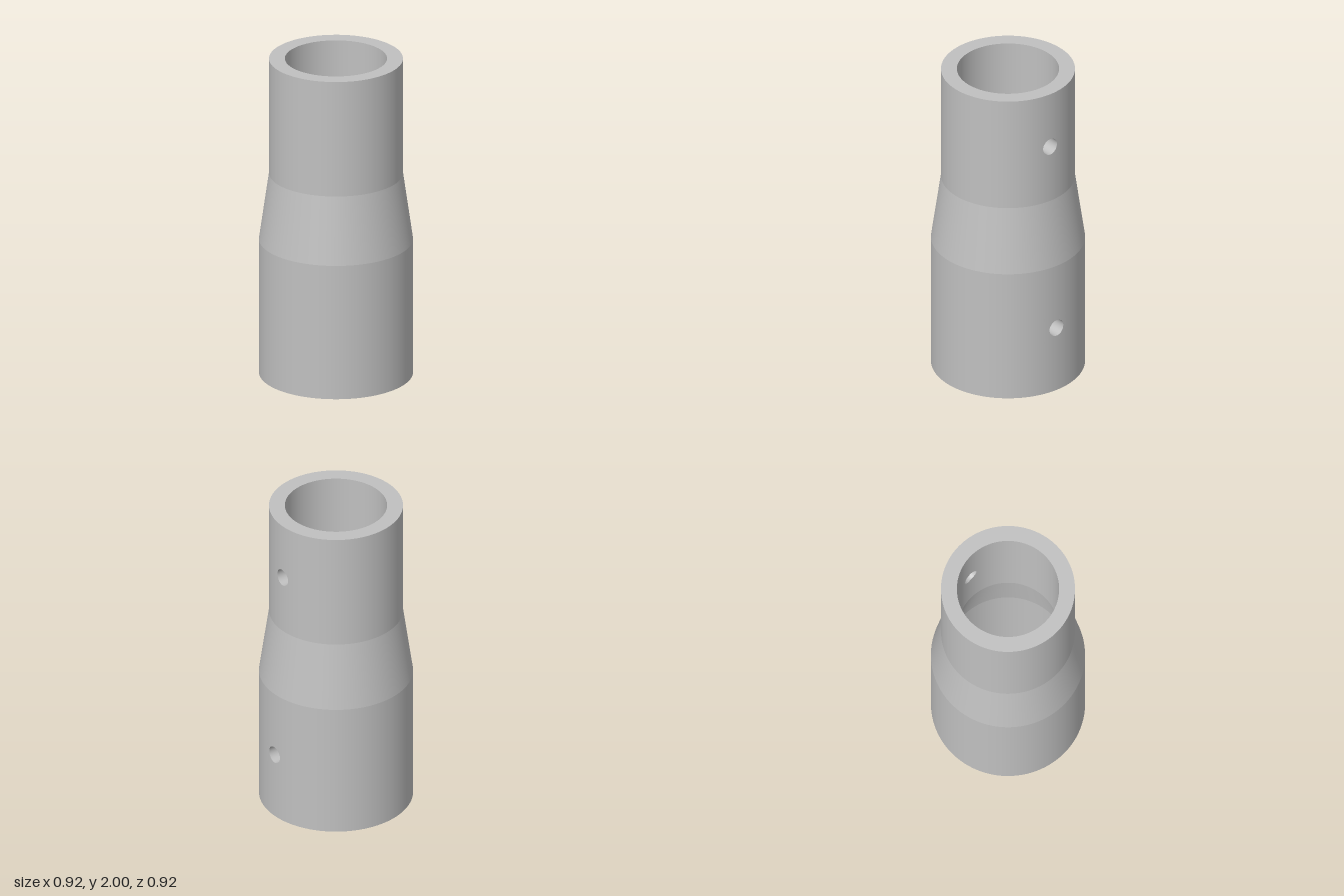
import * as THREE from 'three';
import { ParametricGeometry } from 'three/addons/geometries/ParametricGeometry.js';

const SEG = 96;                           // facets around the tube
const HALF = 4 * (2 * Math.PI / SEG);     // half angle of the window left for a hole
const H = 0.09;                           // half height of that window
const HOLE_R = 0.053;

// Ends of the sleeve: outer radius, bore radius, pin hole height
const WIDE = { outer: 0.46, bore: 0.365, hole: 0.425 };
const NARROW = { outer: 0.4, bore: 0.305, hole: 1.64 };
const TAPER_LOW = 0.85, TAPER_HIGH = 1.27, TOP = 2;

export function createModel() {
  const model = new THREE.Group();
  model.name = 'reducerSleeve';
  const grey = new THREE.MeshStandardMaterial({ color: 0xc0c0c0 });
  grey.name = 'plain grey';

  const add = (name, geometry) => {
    const mesh = new THREE.Mesh(geometry, grey);
    mesh.name = name;
    model.add(mesh);
  };

  // Straight band of revolution; the window version leaves a gap centred on +x
  const band = (name, r0, y0, r1, y1, windowed = false) => {
    const pts = [new THREE.Vector2(r0, y0), new THREE.Vector2(r1, y1)];
    add(name, windowed
      ? new THREE.LatheGeometry(pts, SEG - 8, Math.PI / 2 + HALF, 2 * Math.PI - 2 * HALF)
      : new THREE.LatheGeometry(pts, SEG));
  };

  // Point on a cylinder of radius r, at angle w away from +x
  const onCylinder = (r, w, y, target) => target.set(r * Math.cos(w), y, -r * Math.sin(w));

  // Square outline going round once for u = 0..1
  const side = (u) => THREE.MathUtils.clamp(2 - 8 * Math.abs(u - Math.round(u)), -1, 1);

  // Curved plate from the square window (k = 0) to the round hole (k = 1)
  const plate = (r, y, u, k, target) => {
    const a = 2 * Math.PI * u;
    const w = THREE.MathUtils.lerp(HALF * side(u), Math.asin(HOLE_R * Math.cos(a) / r), k);
    const dy = THREE.MathUtils.lerp(H * side(u - 0.25), HOLE_R * Math.sin(a), k);
    onCylinder(r, w, y + dy, target);
  };

  // Cylindrical end section with one pin hole through the +x wall
  const endSection = (name, { outer, bore, hole }, y0, y1) => {
    const a = hole - H, b = hole + H;
    band(name + 'OuterLower', outer, y0, outer, a);
    band(name + 'OuterMiddle', outer, a, outer, b, true);
    band(name + 'OuterUpper', outer, b, outer, y1);
    band(name + 'BoreUpper', bore, y1, bore, b);
    band(name + 'BoreMiddle', bore, b, bore, a, true);
    band(name + 'BoreLower', bore, a, bore, y0);
    add(name + 'HoleOuterPlate', new ParametricGeometry(
      (u, v, t) => plate(outer, hole, u, v, t), 32, 4));
    add(name + 'HoleBorePlate', new ParametricGeometry(
      (u, v, t) => plate(bore, hole, u, 1 - v, t), 32, 4));
    // Wall of the hole, from the outside to the bore
    const p = new THREE.Vector3(), q = new THREE.Vector3();
    add(name + 'HoleWall', new ParametricGeometry((u, v, t) => {
      plate(outer, hole, u, 1, p);
      plate(bore, hole, u, 1, q);
      t.lerpVectors(p, q, v);
    }, 32, 1));
  };

  endSection('wideEnd', WIDE, 0, TAPER_LOW);
  endSection('narrowEnd', NARROW, TAPER_HIGH, TOP);

  // Tapered middle, outside and bore
  band('taperOuter', WIDE.outer, TAPER_LOW, NARROW.outer, TAPER_HIGH);
  band('taperBore', NARROW.bore, TAPER_HIGH, WIDE.bore, TAPER_LOW);

  // Flat end rims
  band('topRim', NARROW.outer, TOP, NARROW.bore, TOP);
  band('bottomRim', WIDE.bore, 0, WIDE.outer, 0);

  return model;
}
